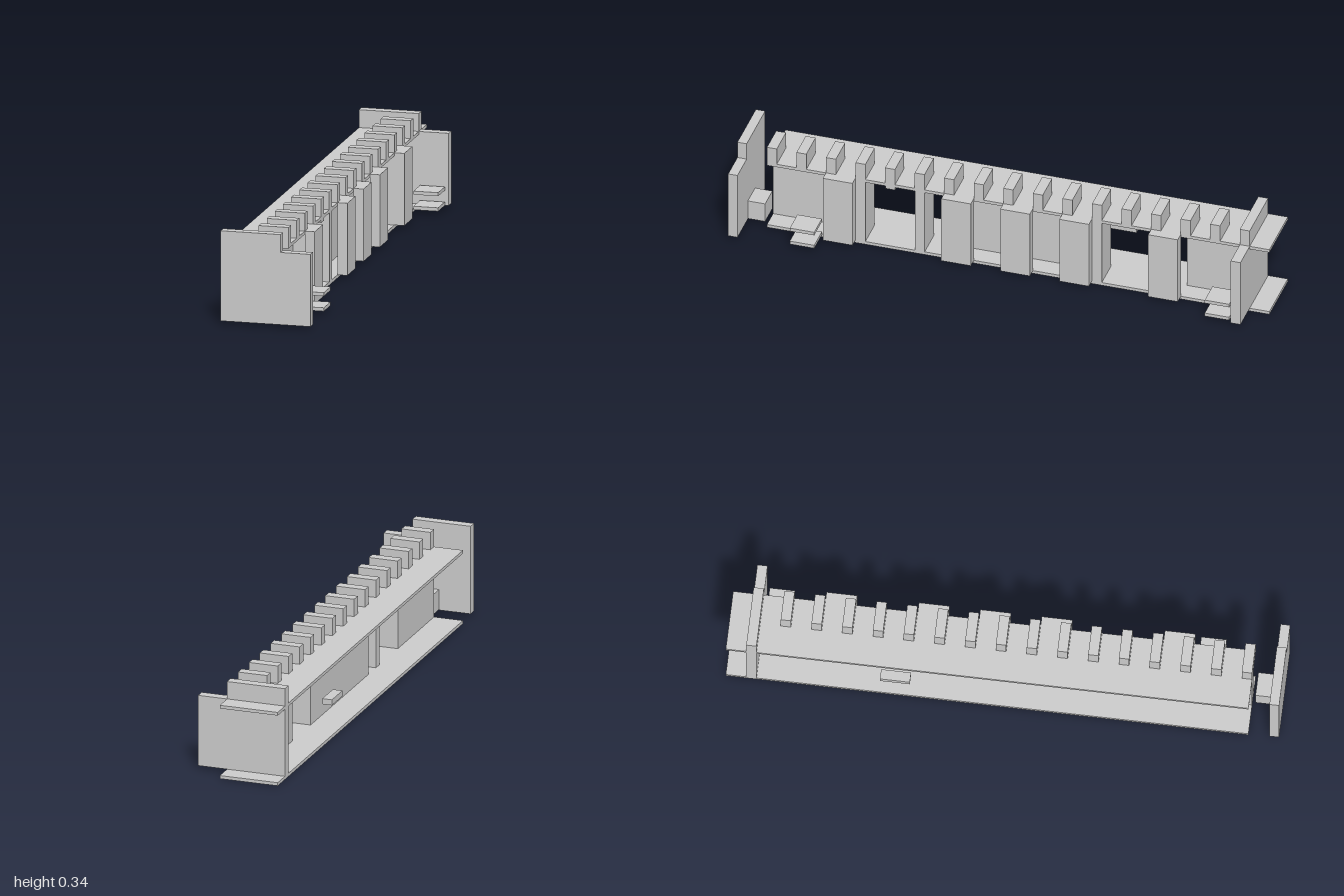
import * as THREE from 'three';

export function createModel() {
  const model = new THREE.Group();
  const grey = new THREE.MeshStandardMaterial({ color: 0xcccccc });
  grey.name = 'plain grey';

  // Box given by its extents on each axis
  const box = (name, [x0, x1], [y0, y1], [z0, z1]) => {
    const mesh = new THREE.Mesh(new THREE.BoxGeometry(x1 - x0, y1 - y0, z1 - z0), grey);
    mesh.position.set((x0 + x1) / 2, (y0 + y1) / 2, (z0 + z1) / 2);
    mesh.name = name;
    model.add(mesh);
  };

  const floorTop = 0.012, roofBottom = 0.267, roofTop = 0.279, crest = 0.345;
  const u = 1 / 27; // module width
  const back = -4.5 * u, edge = 1.5 * u;
  const room = [floorTop, roofBottom];

  // Floor and roof slabs
  box('floor', [back, edge], [0, floorTop], [-1, 0.889]);
  box('roof', [back, edge], [roofBottom, roofTop], [-1, 0.889]);

  // End walls, each with a raised parapet
  for (const [z0, z1] of [[0.965, 1], [-0.926, -0.889]]) {
    box('endWall', [back, 4.5 * u], [floorTop, roofTop], [z0, z1]);
    box('endParapet', [back, edge], [roofTop, crest], [z0, z1]);
  }

  // Battlements along the roof
  for (let i = 0; i < 16; i++) {
    const z = 0.889 - i * 3 * u;
    box('battlement', [-edge, edge], [roofTop, crest], [z - u, z]);
  }

  // Recessed walls
  for (const z of [[0.519, 0.889], [-0.37, 0.222], [-0.889, -0.667]]) {
    box('wall', [-edge, -0.5 * u], room, z);
  }

  // Full depth columns beside the openings
  for (const z of [0.519, 0.296, -0.37, -0.593]) {
    box('column', [-edge, edge], room, [z, z + u]);
  }

  // Buttresses standing on the outer face
  for (const z of [0.556, 0.111, -0.111, -0.333, -0.667]) {
    box('buttress', [edge, 2.5 * u], [floorTop, roofTop], [z, z + 3 * u]);
  }

  // Pairs of outside plates
  for (const z of [0.68, -0.88]) {
    box('lowerPlate', [0.063, 0.155], [0.014, 0.027], [z, z + 0.092]);
    box('upperPlate', [0.063, 0.155], [0.07, 0.083], [z, z + 0.092]);
  }

  // Small fittings
  box('lintel', [-edge, edge], [0.256, roofBottom], [0.407, 0.444]);
  box('ledge', [-0.165, -0.128], [0.124, 0.145], [-0.443, -0.335]);
  box('frontBlock', [-0.046, 0.042], [0.014, 0.09], [0.9, 0.965]);

  return model;
}
